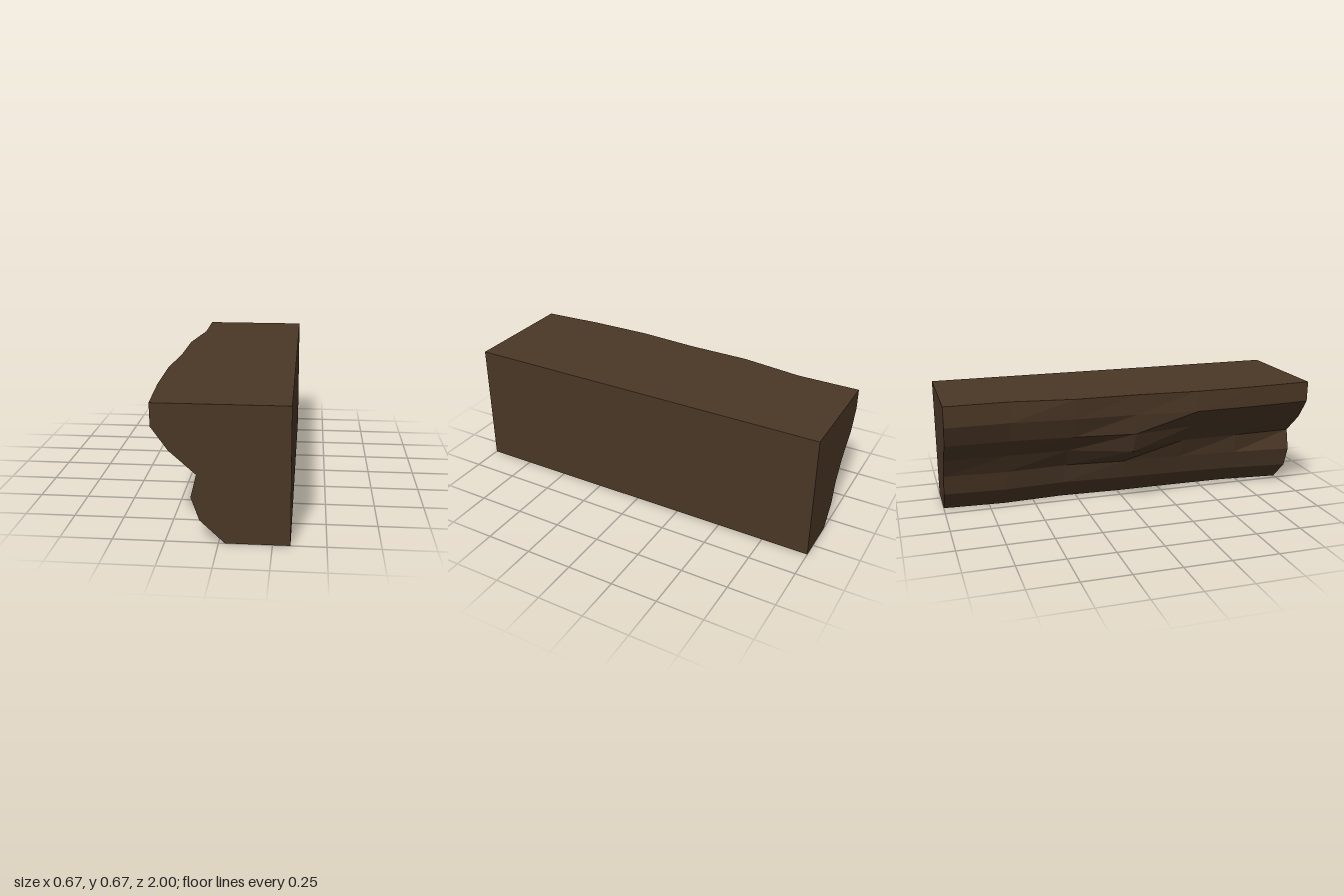
import * as THREE from 'three';

// Outer x of the rugged face: one row per station from back to front,
// each row running from the base up to the top edge.
const PROFILES = [
  [0.085, 0.0, -0.03, -0.10, -0.21, -0.26, -0.26],
  [0.065, -0.02, -0.05, -0.11, -0.21, -0.26, -0.26],
  [0.084, 0.0, -0.03, -0.115, -0.24, -0.29, -0.307],
  [0.07, -0.02, -0.06, -0.237, -0.282, -0.30, -0.31],
  [0.07, -0.03, -0.07, -0.12, -0.23, -0.333, -0.333],
  [0.065, -0.05, -0.09, -0.115, -0.235, -0.325, -0.328],
  [0.03, -0.088, -0.127, -0.10, -0.225, -0.305, -0.307],
];
const STEPS = 6;
const HEIGHT = 0.668;

export function createModel() {
  const rock = new THREE.MeshStandardMaterial({ color: 0x4a3726, flatShading: true });
  rock.name = 'dark brown rock';

  const point = (x, j, k) => [x, (HEIGHT * j) / STEPS, -1 + (2 * k) / STEPS];
  const rugged = (k, j) => point(PROFILES[k][j], j, k);
  const flat = (k, j) => point(0.333 - (0.004 * j) / STEPS, j, k);

  const group = new THREE.Group();
  group.name = 'rockLedge';

  // Makes a mesh from four-cornered faces listed anticlockwise
  function addPart(name, quads) {
    const vertices = quads.flatMap(([a, b, c, d]) => [a, b, c, a, c, d].flat());
    const geometry = new THREE.BufferGeometry();
    geometry.setAttribute('position', new THREE.Float32BufferAttribute(vertices, 3));
    geometry.computeVertexNormals();
    const mesh = new THREE.Mesh(geometry, rock);
    mesh.name = name;
    group.add(mesh);
  }

  const cliff = [], wall = [], top = [], base = [], front = [], back = [];
  for (let i = 0; i < STEPS; i++) {
    // Long rugged face and the flat wall opposite
    for (let j = 0; j < STEPS; j++) {
      cliff.push([rugged(i, j), rugged(i + 1, j), rugged(i + 1, j + 1), rugged(i, j + 1)]);
      wall.push([flat(i, j), flat(i, j + 1), flat(i + 1, j + 1), flat(i + 1, j)]);
    }
    // Top and underside
    top.push([rugged(i, STEPS), rugged(i + 1, STEPS), flat(i + 1, STEPS), flat(i, STEPS)]);
    base.push([rugged(i, 0), flat(i, 0), flat(i + 1, 0), rugged(i + 1, 0)]);
    // End caps, one strip per level
    front.push([rugged(STEPS, i), flat(STEPS, i), flat(STEPS, i + 1), rugged(STEPS, i + 1)]);
    back.push([rugged(0, i), rugged(0, i + 1), flat(0, i + 1), flat(0, i)]);
  }

  addPart('cliffFace', cliff);
  addPart('flatWall', wall);
  addPart('topSurface', top);
  addPart('underside', base);
  addPart('frontEnd', front);
  addPart('backEnd', back);
  return group;
}
